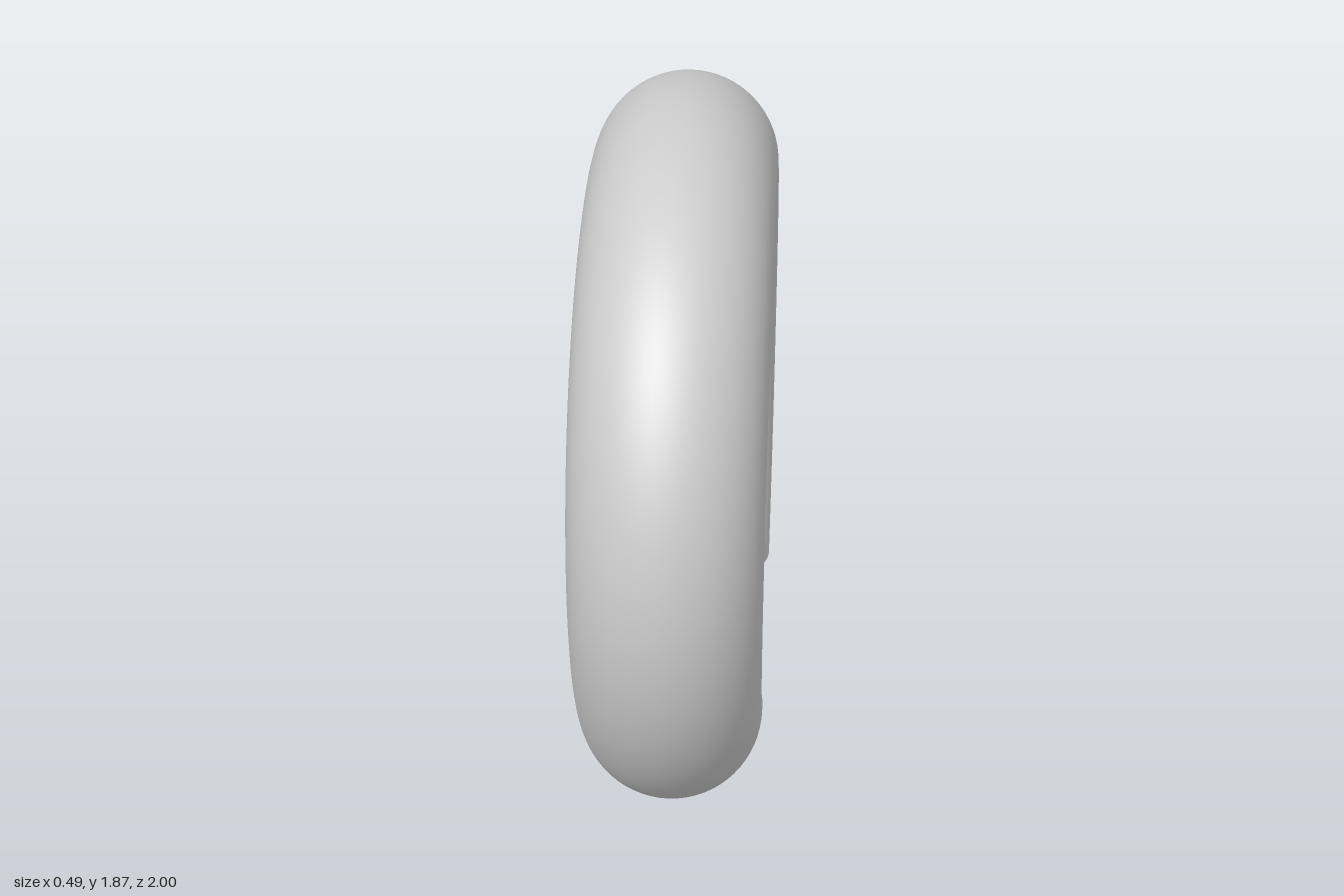
import * as THREE from 'three';

const RING = 0.755;   // radius of the ring's centre line
const TUBE = 0.245;   // radius of the round section
const START = -Math.PI / 3;
const ARC = 5.23;     // open ring, gap at the bottom
const SIDES = 64;

export function createModel() {
  const group = new THREE.Group();
  group.name = 'openRing';
  const material = new THREE.MeshStandardMaterial({ color: 0xcccccc });

  // Places a part drawn in the ring's XY plane upright in the YZ plane
  const add = (name, geometry) => {
    geometry.rotateZ(START).rotateY(Math.PI / 2).translate(0, 0.87, 0);
    const mesh = new THREE.Mesh(geometry, material);
    mesh.name = name;
    group.add(mesh);
  };

  // Curved round bar
  add('ringBody', new THREE.TorusGeometry(RING, TUBE, SIDES, 160, ARC));

  // Flat discs closing the two ends, facing into the gap
  const cap = (name, tilt, angle) =>
    add(name, new THREE.CircleGeometry(TUBE, SIDES).rotateX(tilt).translate(RING, 0, 0).rotateZ(angle));
  cap('backEndCap', Math.PI / 2, 0);
  cap('frontEndCap', -Math.PI / 2, ARC);

  return group;
}
